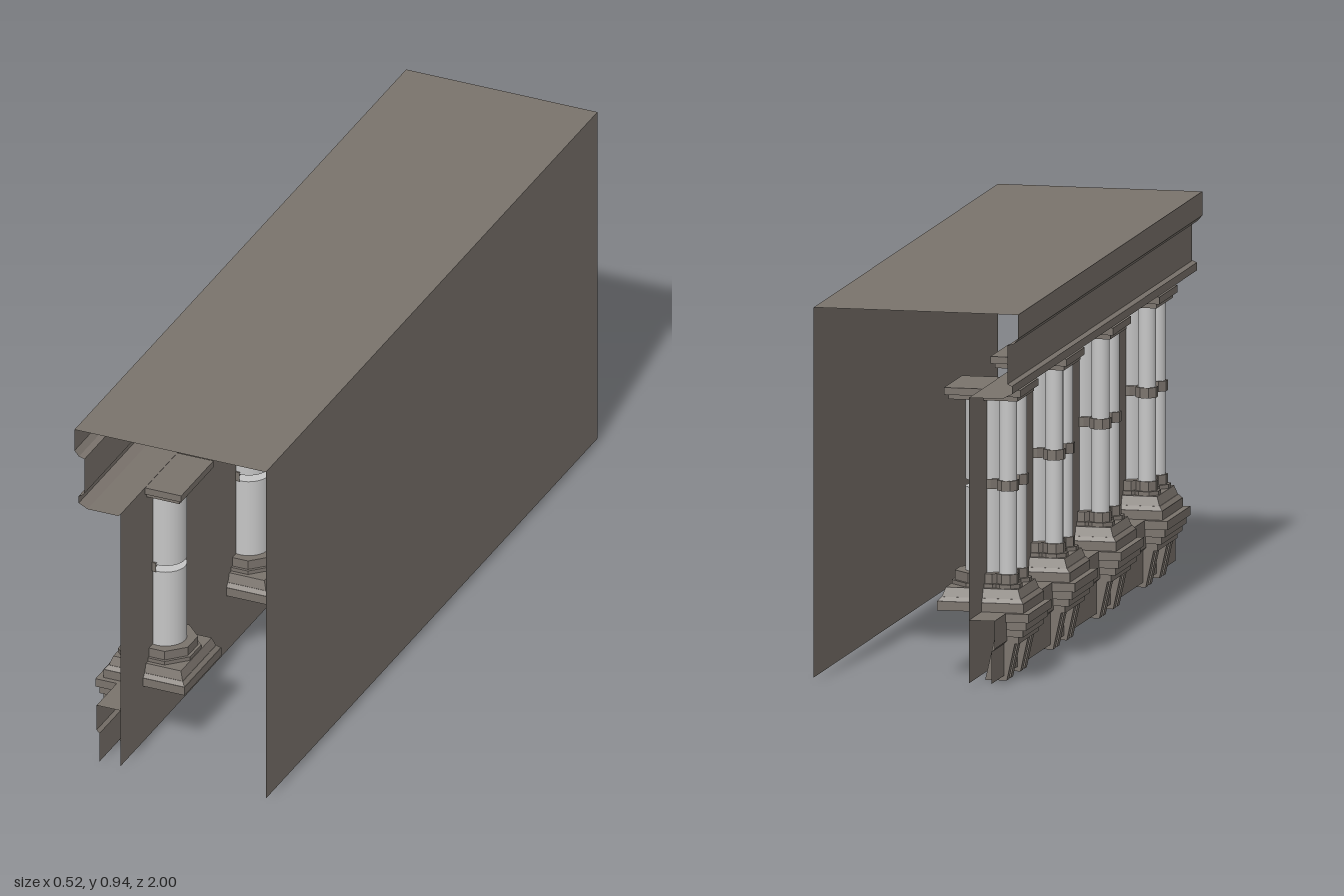
import * as THREE from 'three';

export function createModel() {
  const model = new THREE.Group();
  const stone = new THREE.MeshStandardMaterial({ color: 0x7a736c, side: THREE.DoubleSide });
  stone.name = 'brownStone';
  const marble = new THREE.MeshStandardMaterial({ color: 0xc6c6c6 });
  marble.name = 'paleMarble';

  const add = (parent, name, geo, mat, x = 0, y = 0, z = 0) => {
    const m = new THREE.Mesh(geo, mat);
    m.name = name;
    m.position.set(x, y, z);
    parent.add(m);
    return m;
  };
  const facet = (geo) => {
    const g = geo.index ? geo.toNonIndexed() : geo;
    g.computeVertexNormals();
    return g;
  };

  // Open sheet: a profile of [x, y] points swept along z
  const sheet = (name, pts, z0, z1) => {
    const pos = [];
    for (let i = 0; i < pts.length - 1; i++) {
      const [ax, ay] = pts[i], [bx, by] = pts[i + 1];
      pos.push(ax, ay, z0, ax, ay, z1, bx, by, z1, ax, ay, z0, bx, by, z1, bx, by, z0);
    }
    const g = new THREE.BufferGeometry();
    g.setAttribute('position', new THREE.Float32BufferAttribute(pos, 3));
    g.computeVertexNormals();
    add(model, name, g, stone);
  };

  // Building shell
  const z0 = -1, z1 = 0.99, wallX = -0.135;
  sheet('backWall', [[0.26, 0.012], [0.26, 0.94]], z0, z1);
  sheet('roof', [[0.26, 0.94], [-0.26, 0.94]], z0, z1);
  sheet('cornice', [[-0.26, 0.94], [-0.26, 0.88], [-0.248, 0.866], [-0.233, 0.862], [-0.233, 0.765]], z0, z1);
  sheet('architrave', [[-0.233, 0.765], [-0.244, 0.76], [-0.244, 0.74], [-0.22, 0.728], [wallX, 0.728]], z0, 1);
  sheet('frontWall', [[wallX, 0.728], [wallX, 0.012]], z0, z1);
  sheet('baseCourse', [[wallX, 0.17], [-0.2, 0.17], [-0.2, 0.1], [-0.192, 0.092], [-0.192, 0.012]], z0, z1);

  // Square slab with optional taper, from y0 to y1
  const slab = (parent, name, x, y0, y1, halfBottom, halfTop = halfBottom) => {
    const g = new THREE.CylinderGeometry(halfTop * Math.SQRT2, halfBottom * Math.SQRT2, y1 - y0, 4);
    g.rotateY(Math.PI / 4);
    add(parent, name, facet(g), stone, x, (y0 + y1) / 2, 0);
  };
  const drum = (parent, name, mat, r, y0, y1, x, z, sides) => {
    let g = new THREE.CylinderGeometry(r, r, y1 - y0, sides);
    if (sides === 8) g = facet(g.rotateY(Math.PI / 8));
    add(parent, name, g, mat, x, (y0 + y1) / 2, z);
  };

  // Sloping bracket outline
  const bracketShape = new THREE.Shape([
    [-0.222, 0.105], [-0.199, 0], [-0.144, 0], [-0.168, 0.105],
  ].map(([x, y]) => new THREE.Vector2(x, y)));

  const bigX = -0.123, smallX = -0.189;
  for (const z of [0.745, 0.245, -0.255, -0.755]) {
    const bay = new THREE.Group();
    bay.name = 'columnBay';
    bay.position.z = z;
    model.add(bay);

    // Stepped corbel and brackets below
    [[-0.258, 0.148, 0.17, 0.124], [-0.25, 0.128, 0.148, 0.118],
      [-0.241, 0.11, 0.128, 0.113], [-0.229, 0.092, 0.11, 0.108]].forEach(([x, y0, y1, h]) => {
      const w = -0.195 - x;
      add(bay, 'corbelStep', new THREE.BoxGeometry(w, y1 - y0, h * 2), stone, x + w / 2, (y0 + y1) / 2, 0);
    });
    for (const bz of [-0.095, -0.053, 0.053, 0.095]) {
      const g = new THREE.ExtrudeGeometry(bracketShape, { depth: 0.026, bevelEnabled: false });
      add(bay, 'bracket', g, stone, 0, 0, bz - 0.013);
    }

    // Plinth
    slab(bay, 'plinth', -0.132, 0.17, 0.193, 0.11);
    slab(bay, 'plinthLip', -0.132, 0.193, 0.203, 0.109, 0.101);
    slab(bay, 'plinthSlope', -0.132, 0.203, 0.226, 0.1, 0.092);

    // Large column passing through the wall
    drum(bay, 'columnFoot', stone, 0.088, 0.224, 0.236, bigX, 0, 8);
    drum(bay, 'columnBase', stone, 0.08, 0.236, 0.26, bigX, 0, 8);
    drum(bay, 'lowerShaft', marble, 0.053, 0.26, 0.47, bigX, 0, 32);
    drum(bay, 'upperShaft', marble, 0.053, 0.488, 0.697, bigX, 0, 32);
    const half = new THREE.CylinderGeometry(0.058, 0.058, 0.025, 8, 1, false, Math.PI, Math.PI);
    add(bay, 'halfCollar', facet(half), stone, bigX, 0.482, 0);

    // Paired slim columns outside
    for (const s of [-1, 1]) {
      const sz = s * 0.053;
      drum(bay, 'slimFoot', stone, 0.036, 0.224, 0.236, smallX, sz, 8);
      drum(bay, 'slimBase', stone, 0.028, 0.236, 0.26, smallX, sz, 8);
      drum(bay, 'slimShaft', marble, 0.0225, 0.26, 0.697, smallX, sz, 20);
      drum(bay, 'slimCollar', stone, 0.028, 0.469, 0.495, smallX, sz, 8);
    }

    // Capital
    slab(bay, 'capitalNeck', -0.134, 0.697, 0.709, 0.088);
    slab(bay, 'capitalSlab', -0.134, 0.709, 0.727, 0.097);
  }
  return model;
}
